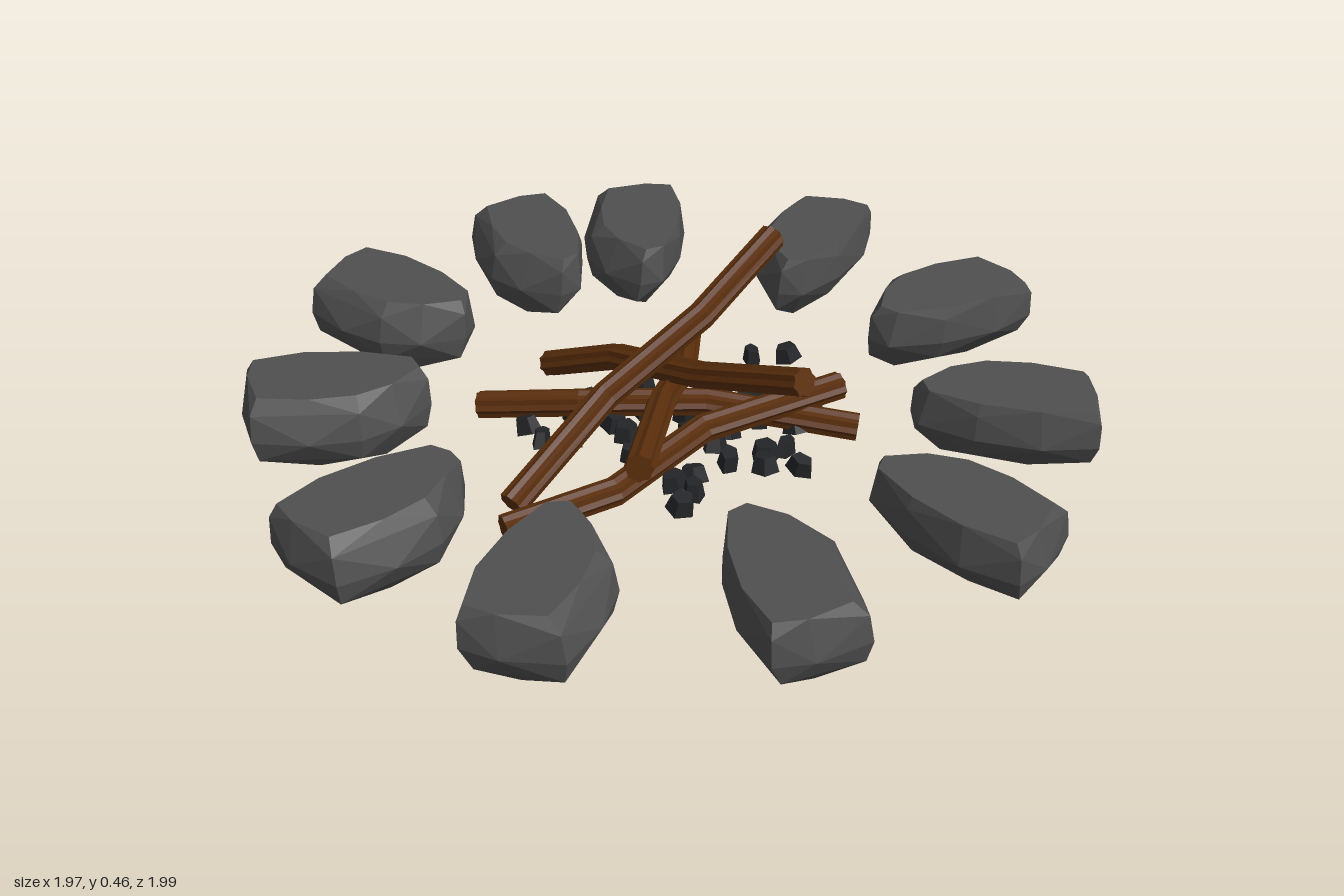
import * as THREE from 'three';
import { ConvexGeometry } from 'three/addons/geometries/ConvexGeometry.js';

const mat = (color, name) => new THREE.MeshStandardMaterial({ color, flatShading: true, name });
const V = (x, y, z) => new THREE.Vector3(x, y, z);

// One faceted stone, long axis on x with the broad end at +x
function stoneGeometry() {
  const outline = [[0.22, -0.02], [0.21, -0.11], [0.08, -0.138], [-0.07, -0.12], [-0.2, -0.07],
    [-0.22, -0.01], [-0.15, 0.08], [-0.06, 0.13], [0.06, 0.138], [0.19, 0.11]];
  // height, length scale, width scale, sideways shift
  const layers = [[0.235, 0.9, 0.78, -0.018], [0.205, 0.985, 0.95, -0.006], [0.14, 1, 1, 0],
    [0.085, 0.94, 0.84, 0.008], [0.048, 0.72, 0.5, 0.01]];
  const points = [];
  layers.forEach(([y, sl, sw, shift], i) => outline.forEach(([u, v], j) => {
    // skip alternate corners on some layers for irregular facets
    if (i !== 2 && i !== 0 && (i + j) % 2) return;
    points.push(V(u * sl, y, -(v * sw + shift)));
  }));
  return new ConvexGeometry(points);
}

// Bent stick: a ribbed cross-section carried along a few path points, with capped ends
function stickGeometry(path, radius = 0.034, sides = 16) {
  const pts = path.map((p) => V(...p));
  const pos = [], index = [];
  pts.forEach((p, i) => {
    const dir = pts[Math.min(i + 1, pts.length - 1)].clone().sub(pts[Math.max(i - 1, 0)]).normalize();
    const side = V(0, 1, 0).cross(dir).normalize();
    const up = dir.clone().cross(side);
    for (let k = 0; k < sides; k++) {
      const a = (k / sides) * Math.PI * 2;
      const r = k % 2 ? radius * 0.85 : radius;
      const q = p.clone().addScaledVector(side, Math.cos(a) * r).addScaledVector(up, Math.sin(a) * r);
      pos.push(q.x, q.y, q.z);
    }
  });
  const last = (pts.length - 1) * sides;
  for (let i = 0; i < pts.length - 1; i++) {
    for (let k = 0; k < sides; k++) {
      const a = i * sides + k, b = i * sides + (k + 1) % sides;
      index.push(a, b, b + sides, a, b + sides, a + sides);
    }
  }
  const c0 = pos.length / 3;
  pos.push(...path[0], ...path[path.length - 1]);
  for (let k = 0; k < sides; k++) {
    const n = (k + 1) % sides;
    index.push(c0, n, k, c0 + 1, last + k, last + n);
  }
  const g = new THREE.BufferGeometry();
  g.setAttribute('position', new THREE.Float32BufferAttribute(pos, 3));
  g.setIndex(index);
  const flat = g.toNonIndexed();
  flat.computeVertexNormals();
  return flat;
}

export function createModel() {
  const model = new THREE.Group();
  model.name = 'campfire';
  const stoneMat = mat(0x505050, 'stone');
  const woodMat = mat(0x5a2e0c, 'wood');
  const coalMat = mat(0x242528, 'coal');

  // Ring of stones: centre x, centre z, outward direction x, z
  const stones = [
    [0.03, -0.78, 0.05, -0.44], [-0.255, -0.745, -0.1, -0.43], [0.475, -0.65, 0.25, -0.38],
    [0.74, -0.29, 0.42, -0.16], [0.77, 0.19, 0.42, 0.13], [0.555, 0.585, 0.29, 0.35],
    [0.135, 0.77, 0.06, 0.44], [-0.345, 0.705, -0.2, 0.4], [-0.67, 0.42, -0.37, 0.24],
    [-0.77, -0.053, -0.44, -0.01], [-0.62, -0.495, -0.33, -0.31],
  ];
  const ring = new THREE.Group();
  ring.name = 'stoneRing';
  const stoneGeo = stoneGeometry();
  stones.forEach(([x, z, dx, dz]) => {
    const m = new THREE.Mesh(stoneGeo, stoneMat);
    m.name = 'stone';
    m.position.set(x, 0, z);
    m.rotation.y = Math.atan2(-dz, dx);
    ring.add(m);
  });
  model.add(ring);

  // Stacked bent sticks
  const sticks = [
    [[0.13, 0.07, -0.465], [0.07, 0.1, -0.19], [-0.02, 0.17, 0.06], [-0.12, 0.225, 0.405]],
    [[-0.245, 0.03, -0.385], [-0.09, 0.14, -0.21], [0.07, 0.23, 0.05], [0.255, 0.36, 0.325]],
    [[-0.435, 0.07, -0.15], [-0.2, 0.11, -0.06], [0.1, 0.11, -0.02], [0.445, 0.075, 0.09]],
    [[0.295, 0.43, -0.235], [0.09, 0.33, -0.05], [-0.15, 0.2, 0.06], [-0.39, 0.06, 0.265]],
    [[-0.415, 0.07, 0.37], [-0.16, 0.09, 0.29], [0.07, 0.12, 0.11], [0.42, 0.14, 0]],
  ];
  const pile = new THREE.Group();
  pile.name = 'stickPile';
  sticks.forEach((path) => {
    const m = new THREE.Mesh(stickGeometry(path), woodMat);
    m.name = 'stick';
    pile.add(m);
  });
  model.add(pile);

  // Scattered coals: x, z
  const coals = [
    [0.35, -0.28], [0.26, -0.28], [0.34, -0.16], [0.29, -0.06], [0.35, -0.02], [0.3, 0.05],
    [0.26, 0.14], [0.28, 0.22], [0.2, 0.2], [0.21, 0.15], [0.12, 0.17], [0.03, 0.22],
    [0.02, 0.28], [-0.015, 0.33], [-0.03, -0.2], [-0.02, 0.24], [0.12, -0.2], [0.05, -0.18],
    [-0.17, -0.13], [-0.21, -0.08], [-0.33, -0.04], [-0.3, 0.02], [-0.23, 0.02], [-0.1, 0.02],
    [-0.04, -0.08], [0.16, -0.1], [0.14, 0.05], [0.22, 0], [0.2, -0.06], [0.23, -0.12],
    [0, 0.1], [-0.1, 0.12], [0.1, 0.1], [-0.12, -0.03], [0.05, -0.05], [0.05, 0.04],
  ];
  const bed = new THREE.Group();
  bed.name = 'coalBed';
  const coalGeo = new THREE.CylinderGeometry(0.026, 0.036, 0.04, 5);
  coals.forEach(([x, z], i) => {
    const m = new THREE.Mesh(coalGeo, coalMat);
    m.name = 'coal';
    m.position.set(x, 0.072, z);
    m.rotation.set(Math.sin(i * 2.1) * 0.25, i * 1.7, Math.cos(i * 3.3) * 0.25);
    m.scale.set(1, 1, 0.8 + 0.2 * Math.sin(i * 5));
    bed.add(m);
  });
  model.add(bed);
  return model;
}
